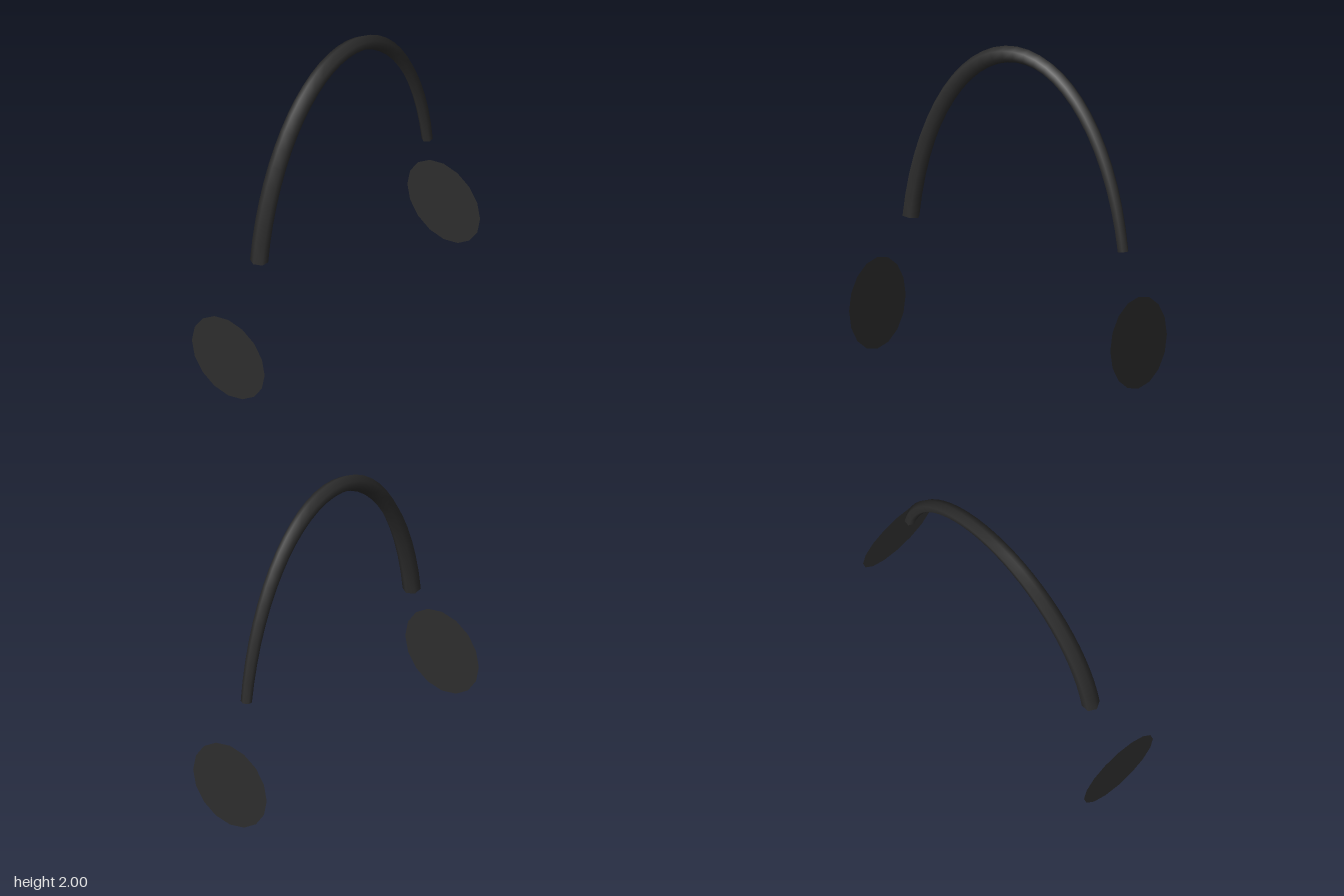
import * as THREE from 'three';

const dark = new THREE.MeshStandardMaterial({ color: 0x2d2d2d });
dark.name = 'charcoal';
const darkPad = new THREE.MeshStandardMaterial({ color: 0x2d2d2d, side: THREE.DoubleSide });
darkPad.name = 'charcoalPad';

const SIDES = 6, STEPS = 28;
const CX = 0.067, CY = 0.562, A = 0.81, B = 1.388, START = 0.2126; // ellipse of the band

// Centre, outward direction and radius of the band at t (0 = thick end, 1 = thin end)
function bandFrame(t) {
  const a = Math.PI - START - t * (Math.PI - 2 * START);
  const centre = new THREE.Vector3(CX + A * Math.cos(a), CY + B * Math.sin(a), 0);
  const out = new THREE.Vector3(Math.cos(a) / A, Math.sin(a) / B, 0).normalize();
  return { centre, out, radius: 0.055 - 0.021 * t * t };
}

// One hexagonal cross-section with a corner pointing outward
function ring(t) {
  const { centre, out, radius } = bandFrame(t);
  return Array.from({ length: SIDES }, (_, j) => {
    const b = (j / SIDES) * Math.PI * 2;
    return centre.clone()
      .addScaledVector(out, radius * Math.cos(b))
      .add(new THREE.Vector3(0, 0, radius * Math.sin(b)));
  });
}

function bandGeometry() {
  const pts = [], index = [];
  for (let i = 0; i <= STEPS; i++) pts.push(...ring(i / STEPS));
  for (let i = 0; i < STEPS; i++) {
    for (let j = 0; j < SIDES; j++) {
      const k = (j + 1) % SIDES;
      const a = i * SIDES + j, b = i * SIDES + k, c = a + SIDES, d = b + SIDES;
      index.push(a, b, c, b, d, c);
    }
  }
  // End caps get their own corners so their edges stay sharp
  for (const t of [0, 1]) {
    const base = pts.length;
    pts.push(...ring(t));
    for (let j = 1; j < SIDES - 1; j++) {
      if (t === 0) index.push(base, base + j + 1, base + j);
      else index.push(base, base + j, base + j + 1);
    }
  }
  const g = new THREE.BufferGeometry().setFromPoints(pts);
  g.setIndex(index);
  g.computeVertexNormals();
  return g;
}

export function createModel() {
  const group = new THREE.Group();
  group.name = 'headphones';

  const band = new THREE.Mesh(bandGeometry(), dark);
  band.name = 'headband';
  group.add(band);

  // Flat ear discs, slightly offset from one another
  for (const [name, s] of [['leftEarDisc', 1], ['rightEarDisc', -1]]) {
    const disc = new THREE.Mesh(new THREE.CircleGeometry(0.28, 16), darkPad);
    disc.name = name;
    disc.rotation.y = (s * Math.PI) / 2;
    disc.position.set(0.99 * s, 0.3 + 0.02 * s, 0.02 * s);
    group.add(disc);
  }
  return group;
}
